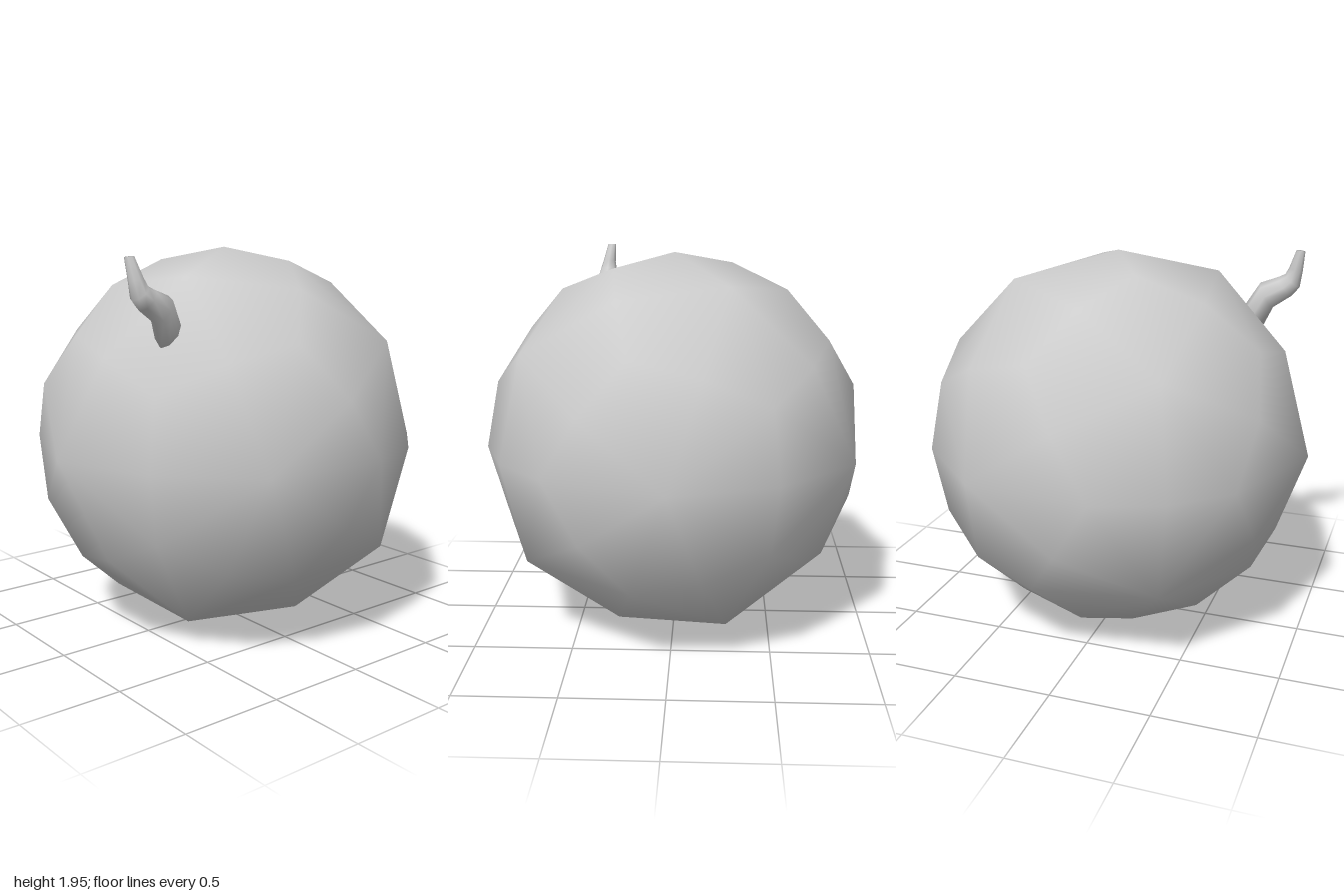
import * as THREE from 'three';
import { ConvexGeometry } from 'three/addons/geometries/ConvexGeometry.js';
import { mergeVertices } from 'three/addons/utils/BufferGeometryUtils.js';

const material = new THREE.MeshStandardMaterial({ color: 0xcccccc });

// Weld shared corners and recompute normals so the surface shades smoothly
function smooth(geometry) {
  geometry.deleteAttribute('normal');
  geometry.deleteAttribute('uv');
  const welded = mergeVertices(geometry, 1e-4);
  welded.computeVertexNormals();
  return welded;
}

// Ball: icosahedron corners (poles on z) plus its edge and face centres, pushed outwards
function ballGeometry() {
  const corners = [new THREE.Vector3(0, 0, 1), new THREE.Vector3(0, 0, -1)];
  const h = 1 / Math.sqrt(5);
  for (let i = 0; i < 5; i++) {
    const a = (i * Math.PI * 2) / 5;
    const x = 2 * h * Math.cos(a), y = 2 * h * Math.sin(a);
    corners.push(new THREE.Vector3(x, y, h), new THREE.Vector3(-x, -y, -h));
  }
  const near = (a, b) => a.dot(b) > 0.4;
  const points = [...corners];
  corners.forEach((a, i) => corners.forEach((b, j) => {
    if (j <= i || !near(a, b)) return;
    points.push(a.clone().add(b).setLength(0.975));
    corners.forEach((c, k) => {
      if (k > j && near(a, c) && near(b, c)) points.push(a.clone().add(b).add(c).setLength(0.972));
    });
  }));
  return smooth(new ConvexGeometry(points));
}

// Stem: cylinder rings placed along a bent path; each ring is x, y, z, radius, tilt towards +z
function stemGeometry() {
  const rings = [
    [0.368, 1.575, 0.615, 0.076, 53],
    [0.405, 1.69, 0.675, 0.072, 60],
    [0.42, 1.738, 0.765, 0.06, 50],
    [0.42, 1.77, 0.802, 0.05, 40],
    [0.415, 1.83, 0.818, 0.036, 15],
    [0.4, 1.927, 0.84, 0.023, 8],
  ];
  const n = rings.length - 1;
  const geometry = new THREE.CylinderGeometry(1, 1, 1, 8, n);
  const pos = geometry.attributes.position;
  const v = new THREE.Vector3();
  const xAxis = new THREE.Vector3(1, 0, 0);
  for (let i = 0; i < pos.count; i++) {
    v.fromBufferAttribute(pos, i);
    const [x, y, z, r, tilt] = rings[Math.round((v.y + 0.5) * n)];
    v.setY(0).multiplyScalar(r).applyAxisAngle(xAxis, THREE.MathUtils.degToRad(tilt));
    pos.setXYZ(i, v.x + x, v.y + y, v.z + z);
  }
  return smooth(geometry);
}

export function createModel() {
  const group = new THREE.Group();

  const ball = new THREE.Mesh(ballGeometry(), material);
  ball.name = 'ball';
  ball.position.y = 0.975;

  const stem = new THREE.Mesh(stemGeometry(), material);
  stem.name = 'bentStem';

  group.add(ball, stem);
  return group;
}
